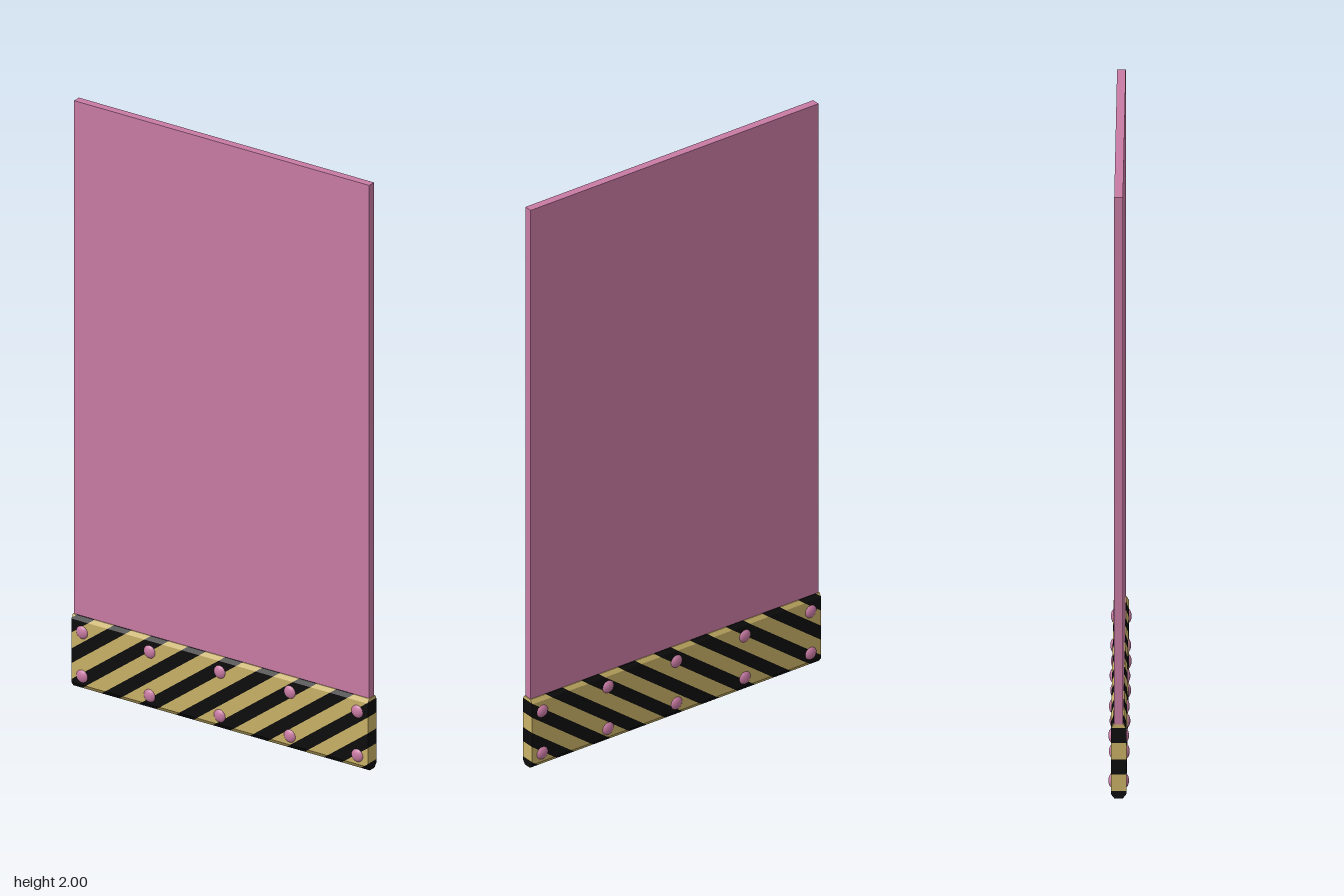
import * as THREE from 'three';
import { mergeGeometries } from 'three/addons/utils/BufferGeometryUtils.js';

const material = (name, color) => {
  const m = new THREE.MeshStandardMaterial({ color });
  m.name = name;
  return m;
};

const HALF_W = 0.56;
const PERIOD_X = 0.14, PERIOD_Y = 0.105; // stripe spacing along x and y
// Band cross-section: [height, half thickness], bevelled at top and bottom
const PROFILE = [[0, 0.013], [0.015, 0.024], [0.232, 0.024], [0.246, 0.016]];

// Keep the part of a polygon where side * x <= HALF_W
function clip(points, side) {
  const out = [];
  points.forEach((a, i) => {
    const b = points[(i + 1) % points.length];
    const da = HALF_W - side * a.x, db = HALF_W - side * b.x;
    if (da >= 0) out.push(a);
    if (da * db < 0) out.push(a.clone().lerp(b, da / (da - db)));
  });
  return out;
}

// One diagonal slice of the band between two stripe phases
function stripePieces(from, to) {
  const pieces = [];
  for (let r = 0; r < PROFILE.length - 1; r++) {
    const [y0, h0] = PROFILE[r], [y1, h1] = PROFILE[r + 1];
    const at = (phase, y) => new THREE.Vector2((phase + y / PERIOD_Y) * PERIOD_X, y);
    const outline = clip(clip([at(from, y0), at(to, y0), at(to, y1), at(from, y1)], 1), -1);
    if (outline.length < 3) continue;
    const geo = new THREE.ExtrudeGeometry(new THREE.Shape(outline), { depth: 2, bevelEnabled: false });
    const p = geo.attributes.position;
    for (let i = 0; i < p.count; i++) {
      const half = THREE.MathUtils.mapLinear(p.getY(i), y0, y1, h0, h1);
      p.setZ(i, (p.getZ(i) - 1) * half);
    }
    geo.computeVertexNormals();
    pieces.push(geo);
  }
  return pieces;
}

export function createModel() {
  const model = new THREE.Group();
  model.name = 'stripedPanel';
  const pink = material('pink', 0xc97ba4);
  const yellow = material('yellow', 0xc9b166);
  const black = material('black', 0x0d0d0d);

  const add = (name, geo, mat, parent = model) => {
    const mesh = new THREE.Mesh(geo, mat);
    mesh.name = name;
    parent.add(mesh);
    return mesh;
  };

  // Tall flat panel
  add('panel', new THREE.BoxGeometry(1.115, 1.98, 0.027).translate(0, 1.01, 0), pink);

  // Hazard band around the foot, stripes running right through it
  const dark = [], light = [];
  for (let k = -7; k <= 5; k++) {
    dark.push(...stripePieces(k - 0.24, k + 0.24));
    light.push(...stripePieces(k + 0.24, k + 0.76));
  }
  add('blackStripes', mergeGeometries(dark), black);
  add('yellowStripes', mergeGeometries(light), yellow);

  // Domed bolts on both faces
  const bolts = new THREE.Group();
  bolts.name = 'bolts';
  model.add(bolts);
  const dome = new THREE.SphereGeometry(0.024, 16, 12);
  for (const side of [1, -1])
    for (const y of [0.045, 0.195])
      for (const x of [-0.52, -0.265, 0, 0.265, 0.52]) {
        const bolt = add('bolt', dome, pink, bolts);
        bolt.position.set(x, y, side * 0.018);
        bolt.scale.z = 0.6;
      }

  return model;
}
